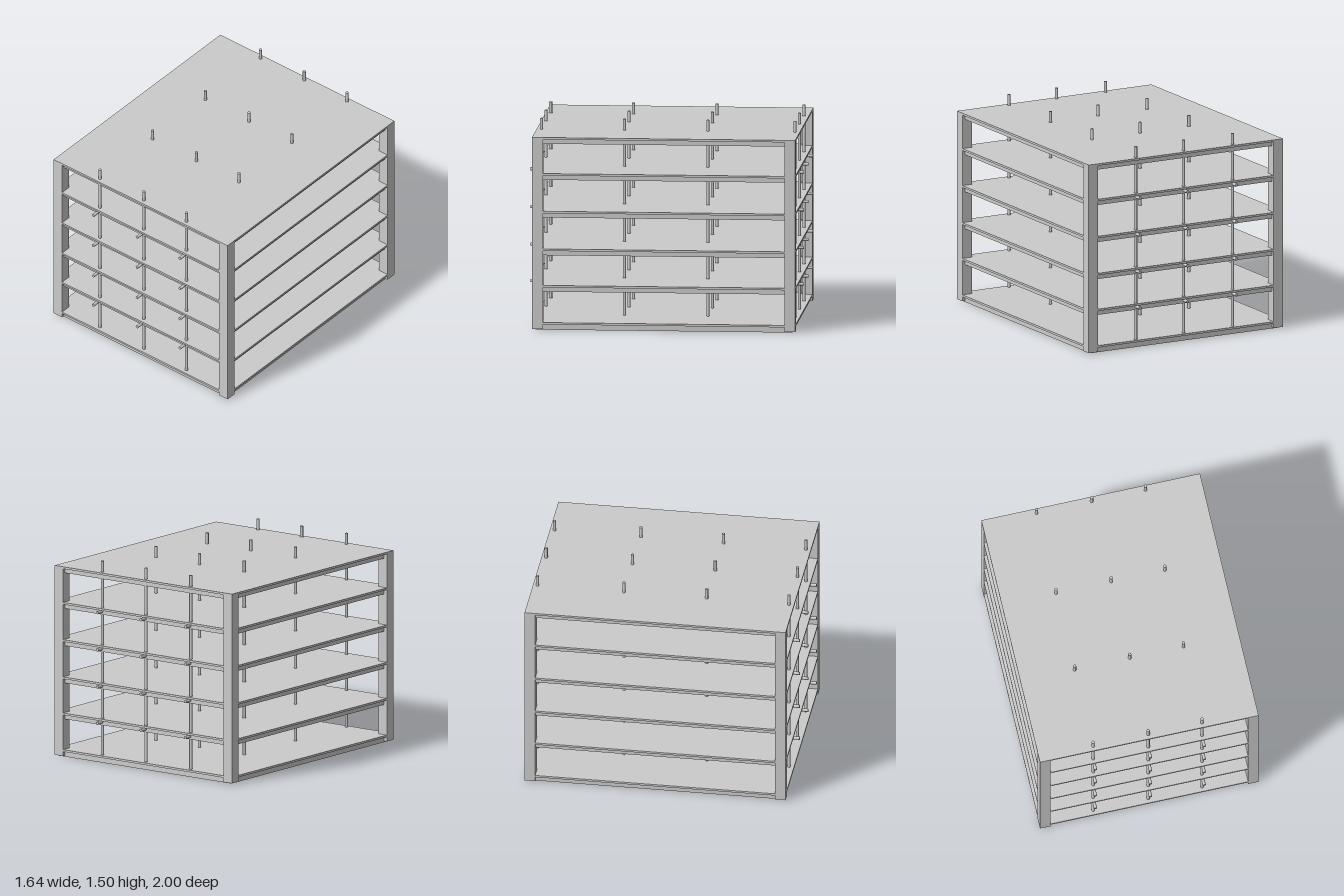
import * as THREE from 'three';

export function createModel() {
  const group = new THREE.Group();
  const material = new THREE.MeshStandardMaterial({ color: 0xcccccc });

  // Box given by its lower and upper corners
  function box(name, [x0, y0, z0], [x1, y1, z1]) {
    const mesh = new THREE.Mesh(new THREE.BoxGeometry(x1 - x0, y1 - y0, z1 - z0), material);
    mesh.name = name;
    mesh.position.set((x0 + x1) / 2, (y0 + y1) / 2, (z0 + z1) / 2);
    group.add(mesh);
  }

  // Thin round rod, upright or running front to back
  function rod(name, length, x, y, z, lying) {
    const mesh = new THREE.Mesh(new THREE.CylinderGeometry(0.0115, 0.0115, length, 20), material);
    mesh.name = name;
    mesh.position.set(x, y, z);
    if (lying) mesh.rotation.x = Math.PI / 2;
    group.add(mesh);
  }

  const halfW = 0.818, back = -0.97, front = 0.957;
  const post = 0.079, inset = 0.024;
  const shelfTops = [0.056, 0.33, 0.599, 0.877, 1.155, 1.421];
  const rodX = [-0.412, 0, 0.402];
  const rodZ = [-0.935, -0.297, 0.313, 0.92];

  // Square corner posts
  for (const x of [-halfW, halfW - post])
    for (const z of [back, front - post])
      box('cornerPost', [x, 0.008, z], [x + post, 1.421, z + post]);

  // Shelves: a thin overhanging top on a slightly smaller slab
  shelfTops.forEach((top, i) => {
    const bottom = i === 0 ? 0 : top - 0.05;
    box('shelfTop', [-halfW, top - 0.015, back], [halfW, top, front]);
    box('shelfSlab', [-halfW + inset, bottom, back + inset], [halfW - inset, top - 0.015, front - inset]);
  });

  // Upright rods rising from the base through the top shelf
  const low = 0.03, high = 1.503;
  for (const x of rodX)
    for (const z of rodZ) rod('uprightRod', high - low, x, (low + high) / 2, z, false);

  // Rods running front to back through the middle shelves
  for (const top of shelfTops.slice(1, 5))
    for (const x of rodX) rod('crossRod', 2, x, top - 0.028, 0, true);

  return group;
}
